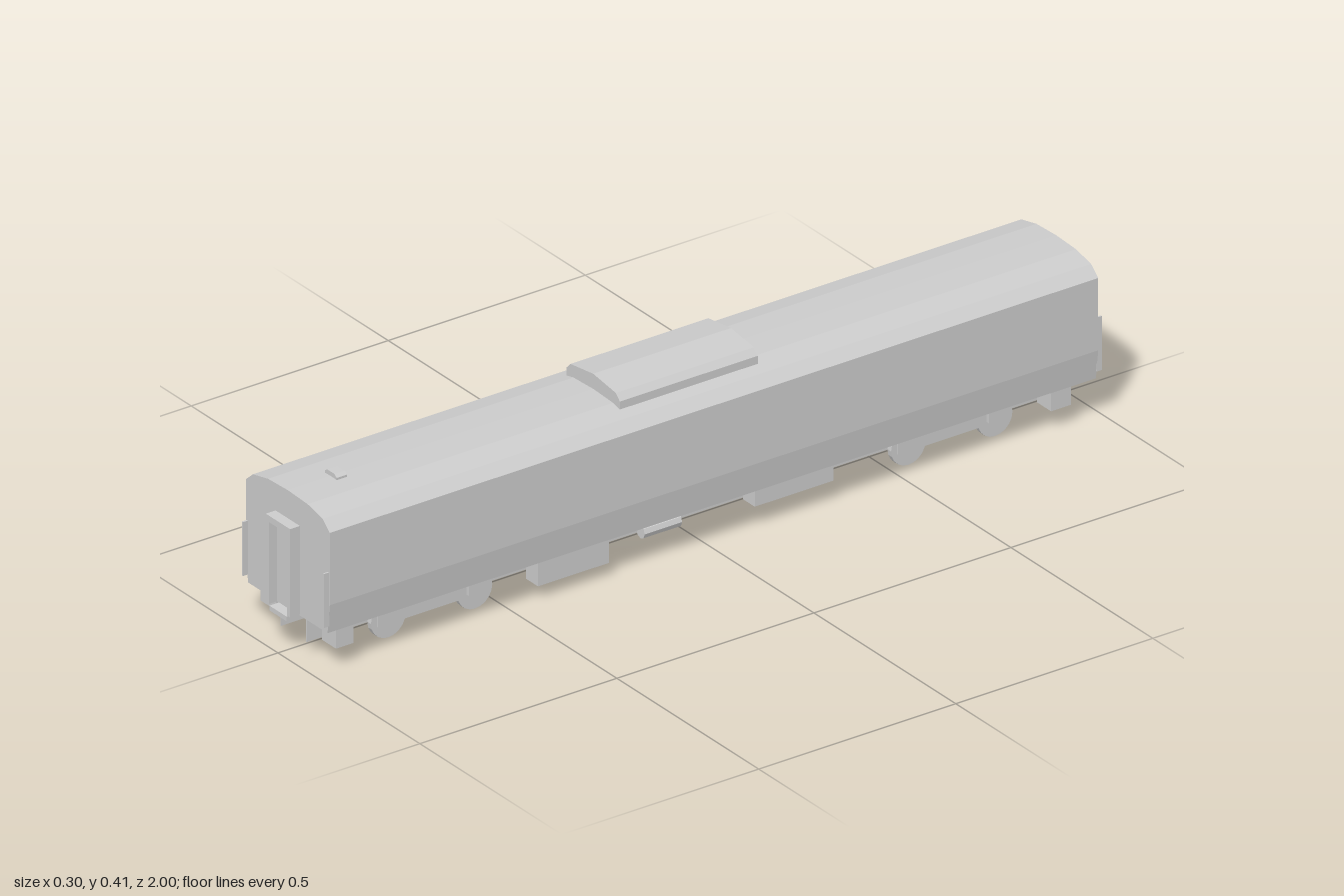
import * as THREE from 'three';

const mat = new THREE.MeshStandardMaterial({ color: 0xcccccc, flatShading: true, side: THREE.DoubleSide });

export function createModel() {
  const model = new THREE.Group();
  model.name = 'railwayCoach';

  const add = (name, geometry, x = 0, y = 0, z = 0) => {
    const mesh = new THREE.Mesh(geometry, mat);
    mesh.name = name;
    mesh.position.set(x, y, z);
    model.add(mesh);
    return mesh;
  };

  // Box given by its limits on each axis
  const box = (name, x0, x1, y0, y1, z0, z1) =>
    add(name, new THREE.BoxGeometry(Math.abs(x1 - x0), y1 - y0, Math.abs(z1 - z0)),
      (x0 + x1) / 2, (y0 + y1) / 2, (z0 + z1) / 2);

  // Symmetric section, given by its right half from bottom to top, drawn out along z
  const section = (name, half, z0, z1) => {
    const left = half.filter(p => p[0] > 0).reverse().map(([x, y]) => [-x, y]);
    const shape = new THREE.Shape([...half, ...left].map(p => new THREE.Vector2(...p)));
    return add(name, new THREE.ExtrudeGeometry(shape, { depth: z1 - z0, bevelEnabled: false }), 0, 0, z0);
  };

  // Body shell with curved roof
  section('body', [[0.14, 0.097], [0.148, 0.165], [0.148, 0.333], [0.123, 0.355],
    [0.07, 0.367], [0, 0.37]], -0.975, 0.975);

  // Roof equipment
  section('roofUnit', [[0.094, 0.35], [0.094, 0.38], [0.08, 0.394], [0, 0.405]], -0.15, 0.2);
  section('roofVent', [[0.021, 0.365], [0.021, 0.374], [0.013, 0.38]], 0.84, 0.866);

  // End fittings, alike at both ends
  for (const e of [1, -1]) {
    box('gangwayHood', -0.043, 0.043, 0.29, 0.305, e * 0.974, e);
    box('gangwayDoor', -0.034, 0.034, 0.1, 0.29, e * 0.974, e * 0.979);
    box('couplingPlate', -0.03, 0.03, 0.086, 0.097, e * 0.96, e);
    for (const s of [1, -1]) {
      box('gangwayPost', s * 0.032, s * 0.043, 0.1, 0.29, e * 0.974, e);
      box('cornerHandrail', s * 0.141, s * 0.145, 0.115, 0.24, e * 0.974, e * 0.987);
    }
  }

  // Long sills under the floor
  for (const s of [1, -1]) box('sill', s * 0.044, s * 0.046, 0.032, 0.098, -0.945, 0.96);

  // Boxes under the floor
  box('equipmentBox', 0.083, 0.125, 0.034, 0.098, 0.25, 0.43);
  box('equipmentBox', 0.083, 0.125, 0.052, 0.098, -0.32, -0.12);
  box('equipmentBox', -0.133, -0.087, 0.037, 0.098, 0.08, 0.39);
  box('equipmentBox', -0.118, -0.087, 0.034, 0.098, -0.34, -0.16);

  // End steps
  for (const [z0, z1] of [[0.9, 0.945], [-0.92, -0.87]]) {
    box('stepBox', 0.078, 0.128, 0.047, 0.098, z0, z1);
    box('stepBox', -0.137, -0.083, 0.047, 0.098, z0, z1);
  }

  // Air tank lies lengthwise, brake cylinder crosswise
  const tank = new THREE.CylinderGeometry(0.015, 0.015, 0.095, 8).rotateX(Math.PI / 2);
  add('airTank', tank, 0.105, 0.069, 0.108);
  const brake = new THREE.CylinderGeometry(0.0125, 0.0125, 0.07, 8).rotateZ(Math.PI / 2);
  add('brakeCylinder', brake, -0.048, 0.068, 0.5);

  // Two bogies
  const wheel = new THREE.CylinderGeometry(0.044, 0.044, 0.013, 20).rotateZ(Math.PI / 2);
  for (const z of [0.665, -0.655]) {
    for (const s of [1, -1]) {
      for (const d of [0.11, -0.11]) add('wheel', wheel, s * 0.07, 0.044, z + d);
      box('bogieFrame', s * 0.078, s * 0.081, 0.034, 0.084, z - 0.14, z + 0.14);
      box('bolster', s * 0.081, s * 0.112, 0.084, 0.098, z - 0.028, z + 0.028);
      box('bolsterFoot', s * 0.081, s * 0.105, 0.076, 0.084, z - 0.018, z + 0.018);
      box('frameBracket', s * 0.081, s * 0.09, 0.042, 0.098, z - 0.115, z - 0.085);
    }
  }

  return model;
}
